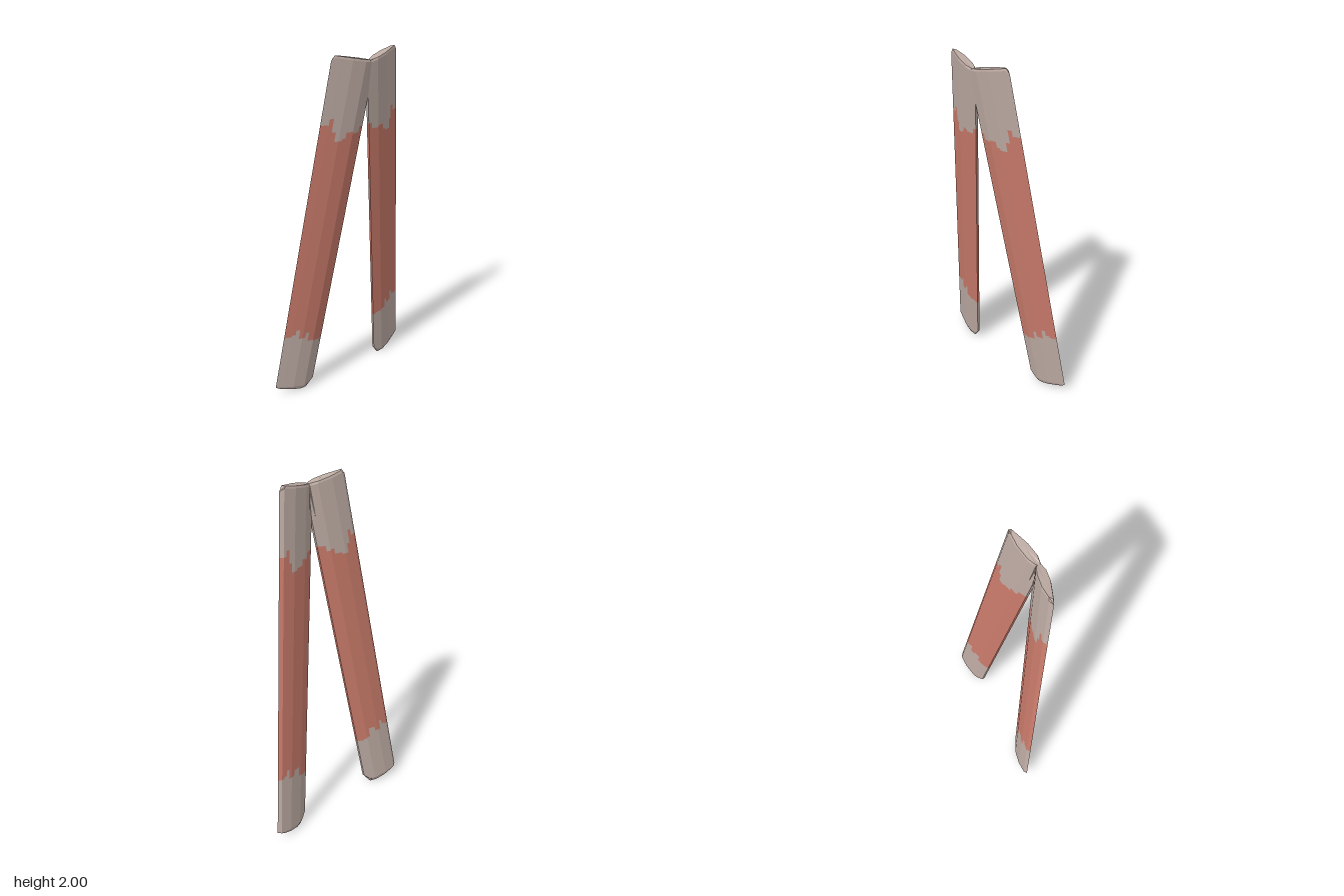
import * as THREE from 'three';

// Plank cross-section [distance from inner edge, z at the top], front then back
const SECTION = [
  [0, 0.14], [0.06, 0.146], [0.13, 0.13], [0.19, 0.105], [0.23, 0.088],
  [0.21, 0.075], [0.14, 0.077], [0.06, 0.095], [0, 0.125],
];
// Ragged paint limits across the width: [up to this distance, lower y, upper y]
const PAINT = [
  [0.03, 0.34, 1.63], [0.065, 0.35, 1.60], [0.09, 0.36, 1.61], [0.12, 0.42, 1.58],
  [0.15, 0.39, 1.57], [0.17, 0.45, 1.62], [0.19, 0.42, 1.69], [0.3, 0.41, 1.66],
];
const KINK = 1.78; // above this height the inner edge is cut at the centre plane

// Point on the leaning plank
function place([w, z], y, side) {
  const x = Math.max(0, (KINK - y) * 0.139 + w);
  return [side * x, y, z - (1.95 - y) * 0.119];
}

// Each section segment cut into narrow strips
function outline() {
  const pts = [];
  SECTION.forEach((a, i) => {
    const b = SECTION[(i + 1) % SECTION.length];
    const n = Math.max(1, Math.round(Math.hypot(a[0] - b[0], a[1] - b[1]) / 0.02));
    for (let k = 0; k < n; k++) {
      pts.push([a[0] + (b[0] - a[0]) * k / n, a[1] + (b[1] - a[1]) * k / n]);
    }
  });
  return pts;
}

const bottomY = (w) => (w < 0.03 ? 0.06 - w : 0.02 + 0.17 * w);
const topY = (w) => (w > 0.215 ? 1.975 : 1.945 + 0.2 * w);
const inset = ([w, z], f) => [w + (0.115 - w) * f, z + (0.11 - z) * f];

function makePlank(side, bare, paint) {
  const bareTris = [], paintTris = [];
  const tri = (list, a, b, c) => list.push(...a, ...(side > 0 ? b : c), ...(side > 0 ? c : b));
  const quad = (list, a, b, c, d) => { tri(list, a, b, c); tri(list, a, c, d); };
  const at = (p, y) => place(p, y, side);
  const pts = outline();

  pts.forEach((p, i) => {
    const q = pts[(i + 1) % pts.length];
    const [, low, high] = PAINT.find((r) => (p[0] + q[0]) / 2 < r[0]);
    const strip = (list, p0, q0, p1, q1) => quad(list, at(p, p0), at(q, q0), at(q, q1), at(p, p1));

    // Long sides: bare foot, painted middle, bare head
    strip(bareTris, bottomY(p[0]), bottomY(q[0]), low, low);
    strip(paintTris, low, low, high, high);
    strip(bareTris, high, high, KINK, KINK);
    strip(bareTris, KINK, KINK, topY(p[0]), topY(q[0]));

    // Chamfered top end
    const capT = (s) => { const t = inset(s, 0.12); return at(t, 1.955 + 0.205 * t[0]); };
    quad(bareTris, at(p, topY(p[0])), at(q, topY(q[0])), capT(q), capT(p));
    tri(bareTris, capT(p), capT(q), at([0.115, 0.11], 1.979));

    // Chamfered bottom end
    const capB = (s) => { const t = inset(s, 0.3); return at(t, 0.24 * Math.max(0, t[0] - 0.045)); };
    quad(bareTris, at(q, bottomY(q[0])), at(p, bottomY(p[0])), capB(p), capB(q));
    tri(bareTris, capB(q), capB(p), at([0.115, 0.11], 0.017));
  });

  const plank = new THREE.Group();
  plank.name = side > 0 ? 'leftPlank' : 'rightPlank';
  for (const [name, list, material] of [['bareEnds', bareTris, bare], ['paintedMiddle', paintTris, paint]]) {
    const geometry = new THREE.BufferGeometry();
    geometry.setAttribute('position', new THREE.Float32BufferAttribute(list, 3));
    geometry.computeVertexNormals();
    const mesh = new THREE.Mesh(geometry, material);
    mesh.name = name;
    plank.add(mesh);
  }
  return plank;
}

export function createModel() {
  const bare = new THREE.MeshStandardMaterial({ color: 0xbcaaa2 });
  bare.name = 'bareTaupe';
  const paint = new THREE.MeshStandardMaterial({ color: 0xc87a6a });
  paint.name = 'paintedRed';

  const model = new THREE.Group();
  model.name = 'leaningPlanks';
  for (const side of [1, -1]) model.add(makePlank(side, bare, paint));
  return model;
}
